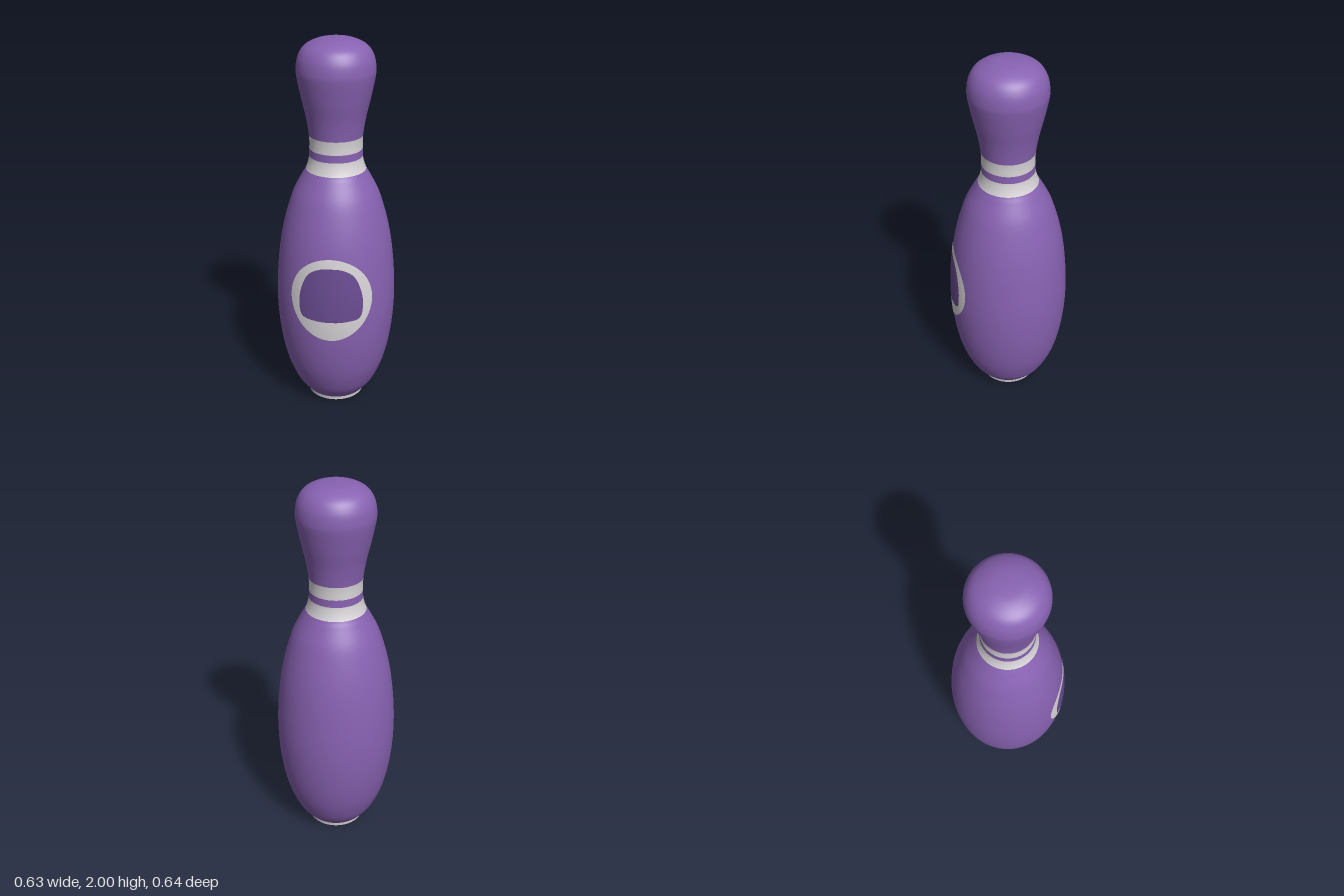
import * as THREE from 'three';

const purple = new THREE.MeshStandardMaterial({ name: 'purple', color: 0x8862b2 });
const darkPurple = new THREE.MeshStandardMaterial({ name: 'dark purple', color: 0x6a4c92 });
const offWhite = new THREE.MeshStandardMaterial({ name: 'off white', color: 0xd8d4d8 });

// Smooth pin silhouette as (radius, height), bottom to top
const profile = new THREE.SplineCurve([
  [0.153, 0.02], [0.172, 0.04], [0.216, 0.1], [0.259, 0.2], [0.286, 0.3], [0.303, 0.4],
  [0.313, 0.5], [0.317, 0.6], [0.315, 0.7], [0.308, 0.8], [0.297, 0.9], [0.28, 1.0],
  [0.255, 1.1], [0.222, 1.2], [0.176, 1.29], [0.154, 1.33], [0.14, 1.38], [0.137, 1.43],
  [0.138, 1.5], [0.153, 1.6], [0.176, 1.7], [0.196, 1.8], [0.2, 1.85], [0.189, 1.91],
  [0.155, 1.96], [0.085, 1.992], [0, 2],
].map(([r, y]) => new THREE.Vector2(r, y))).getPoints(208);

function radiusAt(y) {
  const i = Math.max(1, profile.findIndex((p) => p.y >= y));
  const a = profile[i - 1], b = profile[i];
  return THREE.MathUtils.lerp(a.x, b.x, (y - a.y) / (b.y - a.y));
}

// Part of the pin between two heights
function section(name, y0, y1, material) {
  const pts = profile.filter((p) => p.y > y0 + 0.001 && p.y < y1 - 0.001);
  pts.unshift(new THREE.Vector2(radiusAt(y0), y0));
  pts.push(new THREE.Vector2(y1 === 2 ? 0 : radiusAt(y1), y1));
  const mesh = new THREE.Mesh(new THREE.LatheGeometry(pts, 72), material);
  mesh.name = name;
  return mesh;
}

// Painted patch between two loops of (x, y), wrapped onto the front of the pin
function patch(name, inner, outer, material) {
  const steps = 10, n = inner.length, pos = [], index = [];
  for (let i = 0; i < n; i++) {
    for (let s = 0; s <= steps; s++) {
      const p = inner[i].clone().lerp(outer[i], s / steps);
      const r = radiusAt(p.y) + 0.003;
      pos.push(p.x, p.y, Math.sqrt(r * r - p.x * p.x));
      if (s < steps) {
        const a = i * (steps + 1) + s, d = ((i + 1) % n) * (steps + 1) + s;
        index.push(a, a + 1, d + 1, a, d + 1, d);
      }
    }
  }
  const geo = new THREE.BufferGeometry();
  geo.setAttribute('position', new THREE.Float32BufferAttribute(pos, 3));
  geo.setIndex(index);
  geo.computeVertexNormals();
  const mesh = new THREE.Mesh(geo, material);
  mesh.name = name;
  return mesh;
}

export function createModel() {
  const pin = new THREE.Group();
  pin.name = 'bowlingPin';

  // Body, neck stripes and head
  pin.add(
    section('body', 0.02, 1.325, purple),
    section('lowerStripe', 1.325, 1.395, offWhite),
    section('neckGap', 1.395, 1.435, purple),
    section('upperStripe', 1.435, 1.505, offWhite),
    section('head', 1.505, 2, purple),
  );

  // Foot rim and underside
  const rim = new THREE.Mesh(new THREE.CylinderGeometry(0.153, 0.15, 0.02, 72, 1, true), offWhite);
  rim.position.y = 0.01;
  rim.name = 'footRim';
  const underside = new THREE.Mesh(new THREE.CircleGeometry(0.15, 72).rotateX(Math.PI / 2), offWhite);
  underside.name = 'underside';
  pin.add(rim, underside);

  // Plain oval badge: arched dark panel inside a light ring
  const half = [[0, 0.885], [0.06, 0.878], [0.115, 0.845], [0.15, 0.775], [0.165, 0.69], [0.15, 0.605], [0.08, 0.588], [0, 0.585]];
  const left = half.slice(1, -1).map(([x, y]) => [-x, y]);
  const outline = [...half.slice().reverse(), ...left];
  const panelEdge = new THREE.CatmullRomCurve3(
    outline.map(([x, y]) => new THREE.Vector3(x, y, 0)), true,
  ).getPoints(96).slice(0, -1).map((p) => new THREE.Vector2(p.x, p.y));
  const centre = new THREE.Vector2(0, 0.705);
  const ringEdge = panelEdge.map((p) => {
    const a = Math.atan2((p.y - centre.y) / 0.23, p.x / 0.21);
    return new THREE.Vector2(Math.cos(a) * 0.21, centre.y + Math.sin(a) * 0.23);
  });
  pin.add(
    patch('badgePanel', panelEdge.map(() => centre), panelEdge, darkPurple),
    patch('badgeRing', panelEdge, ringEdge, offWhite),
  );
  return pin;
}
